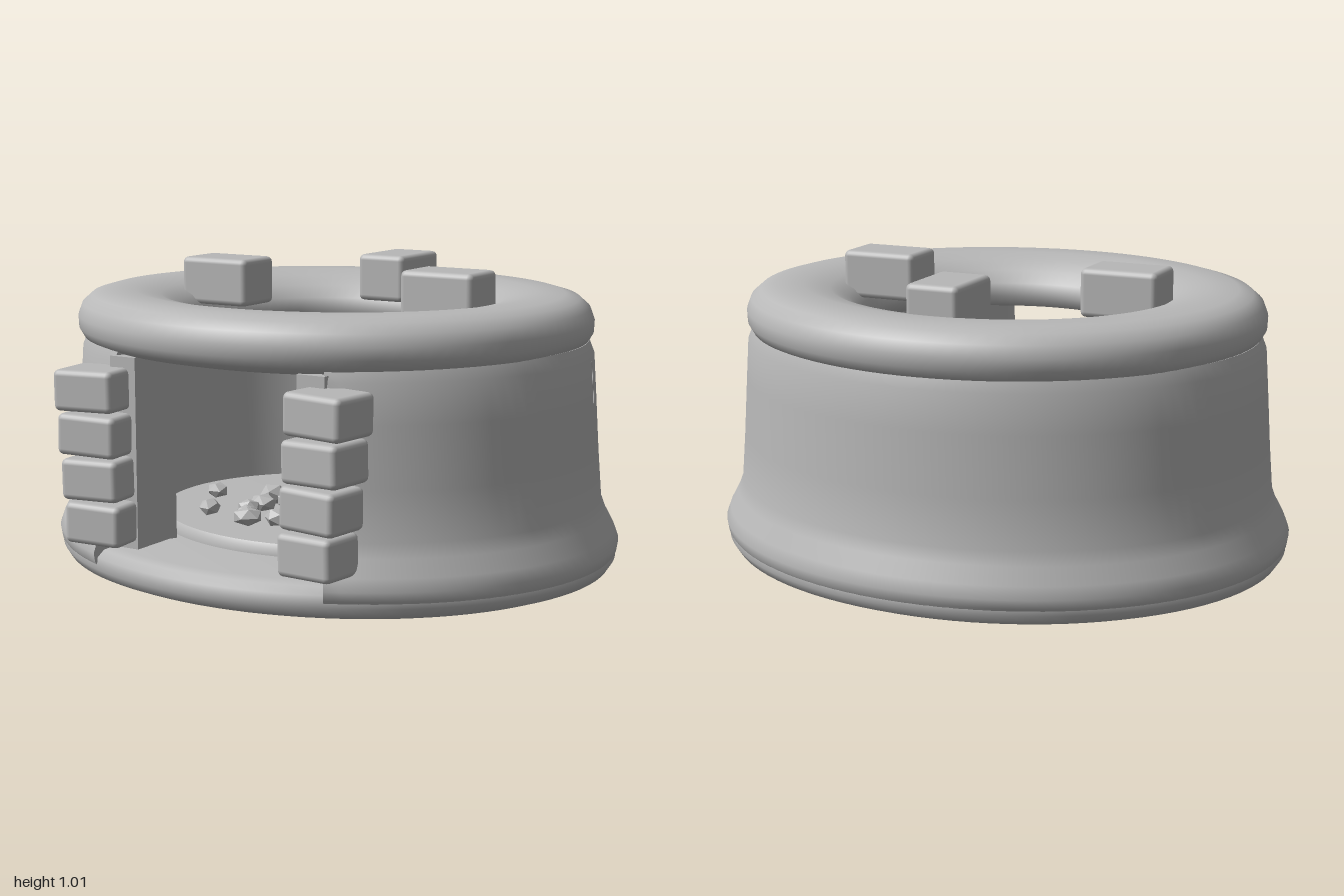
import * as THREE from 'three';
import { toCreasedNormals } from 'three/addons/utils/BufferGeometryUtils.js';
import { RoundedBoxGeometry } from 'three/addons/geometries/RoundedBoxGeometry.js';

const stone = new THREE.MeshStandardMaterial({ color: 0xb8b8b8, side: THREE.DoubleSide });
stone.name = 'grey stone';

function add(parent, name, geometry, x = 0, y = 0, z = 0) {
  const mesh = new THREE.Mesh(geometry, stone);
  mesh.name = name;
  mesh.position.set(x, y, z);
  parent.add(mesh);
  return mesh;
}

// Lathe squashed in depth, with hard edges kept sharp
function ovalLathe(profile, depth, start = 0, length = Math.PI * 2, crease = 0.75) {
  const points = profile.map(([r, y]) => new THREE.Vector2(r, y));
  const g = new THREE.LatheGeometry(points, 96, start, length);
  g.scale(1, 1, depth);
  return toCreasedNormals(g, crease);
}

export function createModel() {
  const model = new THREE.Group();
  model.name = 'stoneFirePit';

  // Base slab and hearth floor
  add(model, 'base', ovalLathe([
    [0, 0], [0.93, 0], [0.97, 0.015], [0.99, 0.045], [0.985, 0.085], [0.96, 0.108], [0.92, 0.117], [0, 0.117],
  ], 0.875));
  add(model, 'hearthFloor', ovalLathe([
    [0.63, 0.11], [0.63, 0.14], [0.615, 0.155], [0, 0.16],
  ], 0.9));

  // Flared wall with a doorway gap facing the front
  const gap = 0.46;
  const wallProfile = [
    [0.975, 0.045], [0.995, 0.07], [1.0, 0.1], [0.985, 0.14], [0.955, 0.195], [0.938, 0.24], [0.925, 0.4],
    [0.912, 0.6], [0.903, 0.73], [0.885, 0.775], [0.67, 0.775], [0.67, 0.1],
  ];
  add(model, 'wall', ovalLathe(wallProfile, 0.875, gap, Math.PI * 2 - gap * 2));
  for (const side of [-1, 1]) {
    const end = new THREE.ShapeGeometry(new THREE.Shape(wallProfile.map(([r, y]) => new THREE.Vector2(r, y))));
    end.rotateY(side * gap - Math.PI / 2);
    end.scale(1, 1, 0.875);
    add(model, 'wallEnd', toCreasedNormals(end, 0.5));
  }

  // Thick rounded rim around the top hole
  add(model, 'rim', ovalLathe([
    [0.49, 0.79], [0.505, 0.835], [0.545, 0.877], [0.61, 0.908], [0.7, 0.924], [0.8, 0.924], [0.85, 0.91],
    [0.885, 0.88], [0.9, 0.84], [0.898, 0.8], [0.88, 0.77], [0.83, 0.75], [0.75, 0.735], [0.6, 0.735],
    [0.52, 0.75], [0.49, 0.79],
  ], 0.91, 0, Math.PI * 2, 1.0), 0, 0, 0.008);

  // Door jambs with a stack of bricks on each side
  for (const side of [-1, 1]) {
    add(model, 'jamb', new THREE.BoxGeometry(0.1, 0.64, 0.2), side * 0.36, 0.43, 0.62);
    for (let i = 0; i < 4; i++) {
      const brick = add(model, 'doorBrick', new RoundedBoxGeometry(0.22 - i * 0.005, 0.136, 0.185 - i * 0.008, 2, 0.02),
        side * (0.443 - i * 0.01), 0.645 - i * 0.145, 0.752 + i * 0.004);
      brick.rotation.set(0, -side * 0.11, side * (i % 2 ? 0.02 : -0.015));
    }
  }

  // Three pot rests on the rim
  for (const [x, z, w, d] of [[-0.447, 0, 0.27, 0.185], [0.44, 0, 0.27, 0.185], [-0.005, -0.443, 0.185, 0.265]]) {
    add(model, 'potRest', new RoundedBoxGeometry(w, 0.165, d, 2, 0.02), x, 0.928, z);
  }

  // Coals scattered over the hearth
  let seed = 7;
  const rnd = () => (seed = (seed * 16807) % 2147483647) / 2147483647;
  const spots = [
    [-0.23, -0.24], [-0.19, -0.28], [-0.18, -0.2], [-0.08, -0.29], [-0.07, -0.14], [0.03, -0.15], [0.12, -0.22],
    [0.12, -0.17], [0.22, -0.29], [0.27, -0.22], [0.42, -0.13], [-0.04, 0], [-0.22, 0.06], [-0.13, 0.1],
    [-0.43, 0.1], [0.15, 0.14], [0.3, 0.03], [0.31, 0.155], [0.36, 0.2], [-0.18, 0.18], [-0.18, 0.27],
    [-0.03, 0.25], [0.06, 0.3], [-0.02, 0.34], [-0.14, 0.34], [-0.11, 0.38], [-0.3, 0.33], [0.24, 0.3],
    [0.28, 0.31], [0.11, 0.4],
  ];
  const large = [11, 12, 15, 16];
  const coals = new THREE.Group();
  coals.name = 'coals';
  model.add(coals);
  spots.forEach(([x, z], i) => {
    const size = large.includes(i) ? 0.058 : 0.036 + rnd() * 0.012;
    const coal = add(coals, 'coal', new THREE.IcosahedronGeometry(size, 0), x, 0.185, z);
    coal.scale.set(0.75 + rnd() * 0.4, 0.7, 0.85 + rnd() * 0.35);
    coal.rotation.y = rnd() * 6;
  });

  // Fine crack in the left wall
  const crack = new THREE.CatmullRomCurve3([
    [0.72, -0.165], [0.68, -0.18], [0.65, -0.17], [0.62, -0.185], [0.58, -0.173],
  ].map(([y, z]) => new THREE.Vector3((0.912 + (0.6 - y) * 0.07) * Math.sqrt(1 - (z / 0.8) ** 2), y, z)));
  add(model, 'crack', new THREE.TubeGeometry(crack, 16, 0.004, 5));

  return model;
}
